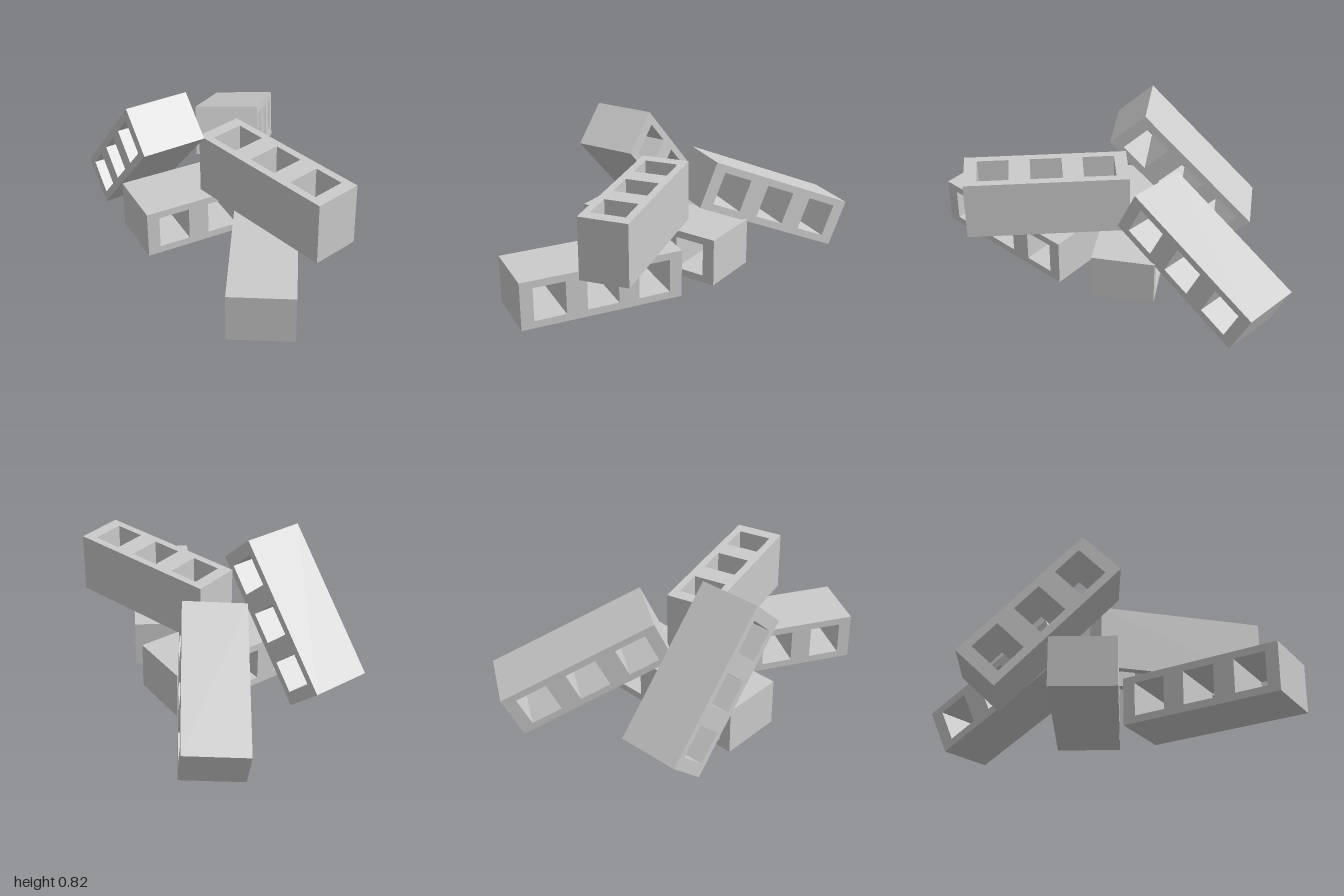
import * as THREE from 'three';

const LENGTH = 0.87, HEIGHT = 0.262, DEPTH = 0.337;
const HOLE_W = 0.17, HOLE_H = 0.182, PITCH = 0.282;

// Closed rectangle path centred on (cx, 0)
function rectangle(path, cx, w, h) {
  path.moveTo(cx - w / 2, -h / 2);
  path.lineTo(cx + w / 2, -h / 2);
  path.lineTo(cx + w / 2, h / 2);
  path.lineTo(cx - w / 2, h / 2);
  path.closePath();
  return path;
}

// One block: length on x, height on y, three square holes running through z
function blockGeometry() {
  const shape = rectangle(new THREE.Shape(), 0, LENGTH, HEIGHT);
  for (const i of [-1, 0, 1]) {
    shape.holes.push(rectangle(new THREE.Path(), i * PITCH, HOLE_W, HOLE_H));
  }
  const geometry = new THREE.ExtrudeGeometry(shape, { depth: DEPTH, bevelEnabled: false });
  geometry.translate(0, 0, -DEPTH / 2);
  return geometry;
}

// Each block: centre, direction of its length, direction of its holes
const BLOCKS = [
  ['frontGroundBlock', [-0.155, 0.136, 0.53], [0.506, 0, -0.862], [0.862, 0, 0.506]],
  ['backGroundBlock', [-0.152, 0.136, -0.12], [1, 0, 0], [0, 0, 1]],
  ['topBlock', [0.003, 0.437, 0.345], [0.259, 0, 0.966], [0, 1, 0]],
  ['leftLeaningBlock', [0.227, 0.309, -0.532], [0.514, -0.4, -0.755], [0.84, 0.06, 0.54]],
  ['rightLeaningBlock', [-0.432, 0.412, -0.338], [-0.017, -0.725, -0.689], [0.998, 0.015, -0.04]],
];

export function createModel() {
  const group = new THREE.Group();
  group.name = 'blockPile';
  const material = new THREE.MeshStandardMaterial({ color: 0xcccccc, flatShading: true });
  const geometry = blockGeometry();

  for (const [name, centre, along, through] of BLOCKS) {
    const x = new THREE.Vector3(...along).normalize();
    const y = new THREE.Vector3(...through).cross(x).normalize();
    const z = x.clone().cross(y);
    const block = new THREE.Mesh(geometry, material);
    block.name = name;
    block.position.set(...centre);
    block.quaternion.setFromRotationMatrix(new THREE.Matrix4().makeBasis(x, y, z));
    group.add(block);
  }
  return group;
}
